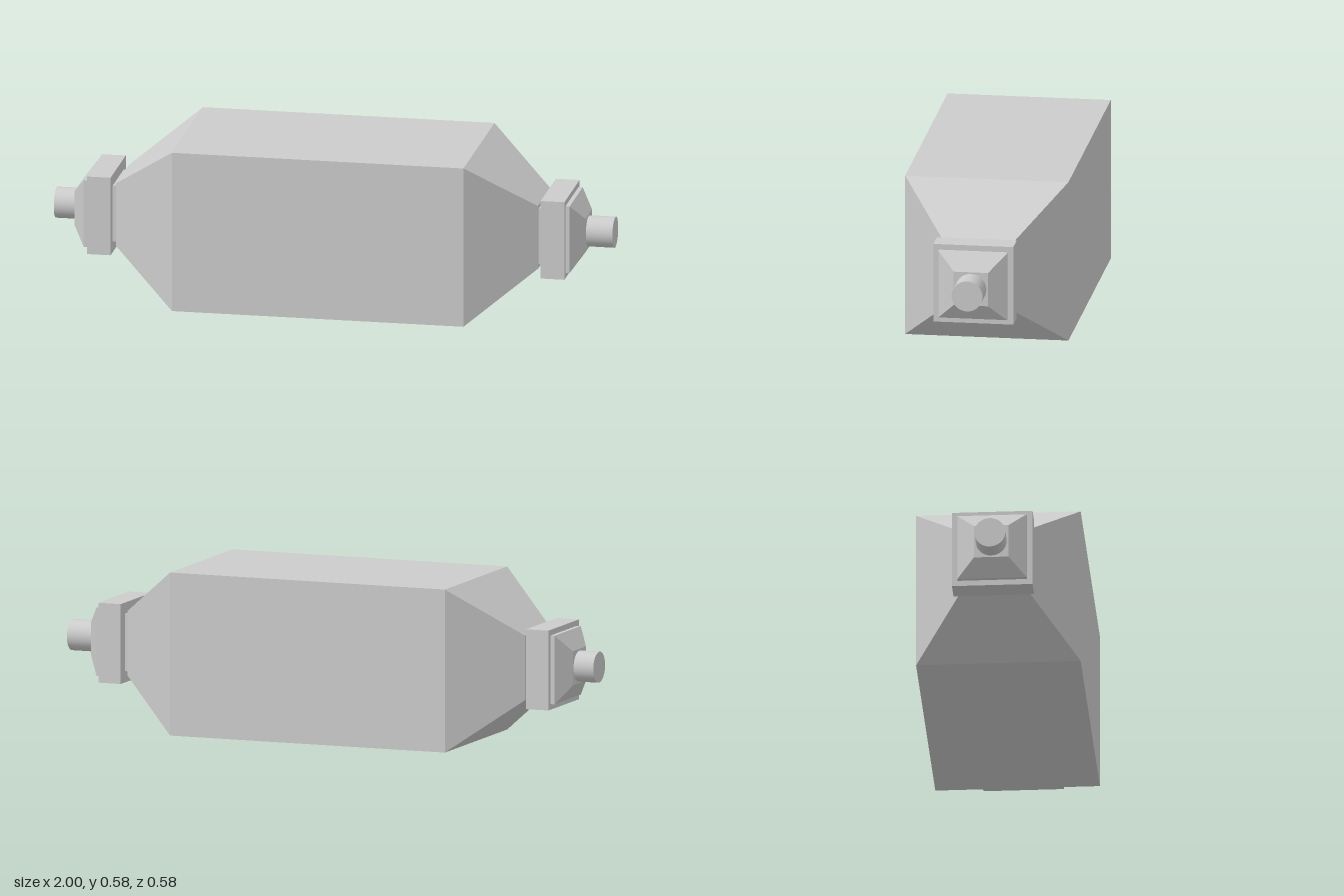
import * as THREE from 'three';

const AXIS_Y = 0.29;    // height of the long axis
const CENTRE_X = -0.01; // middle of the body
const flat = new THREE.MeshStandardMaterial({ color: 0xcccccc, flatShading: true });
const smooth = new THREE.MeshStandardMaterial({ color: 0xcccccc });

// Closed square-section solid along +x from [x, half width] pairs
function squareSolid(name, profile) {
  const points = profile.map(([x, half]) => new THREE.Vector2(half * Math.SQRT2, x));
  points.unshift(new THREE.Vector2(0, profile[0][0]));
  points.push(new THREE.Vector2(0, profile[profile.length - 1][0]));
  const geometry = new THREE.LatheGeometry(points, 4, Math.PI / 4);
  geometry.rotateZ(-Math.PI / 2);
  const mesh = new THREE.Mesh(geometry, flat);
  mesh.name = name;
  return mesh;
}

// Neck, flange, tapered cap and round pin of one end, pointing to +x
function endFitting(side, pinEnd) {
  const end = new THREE.Group();
  end.name = side + 'End';
  end.add(
    squareSolid('neck', [[0.75, 0.102], [0.775, 0.102]]),
    squareSolid('flange', [[0.77, 0.142], [0.855, 0.142]]),
    squareSolid('taperedCap', [[0.85, 0.122], [0.87, 0.122], [0.915, 0.061]])
  );
  const pinStart = 0.91;
  const pinGeometry = new THREE.CylinderGeometry(0.055, 0.055, pinEnd - pinStart, 32);
  pinGeometry.rotateZ(-Math.PI / 2);
  const pin = new THREE.Mesh(pinGeometry, smooth);
  pin.name = 'pin';
  pin.position.x = (pinStart + pinEnd) / 2;
  end.add(pin);
  return end;
}

export function createModel() {
  const model = new THREE.Group();
  model.name = 'squareDuctUnit';

  // Square body tapering at both ends
  model.add(squareSolid('body', [[-0.755, 0.115], [-0.522, 0.29], [0.522, 0.29], [0.755, 0.115]]));

  // Matching end fittings, the left pin slightly longer
  const left = endFitting('left', 1.01);
  const right = endFitting('right', 0.99);
  right.rotation.y = Math.PI;
  model.add(left, right);

  model.position.set(CENTRE_X, AXIS_Y, 0);
  const root = new THREE.Group();
  root.add(model);
  return root;
}
